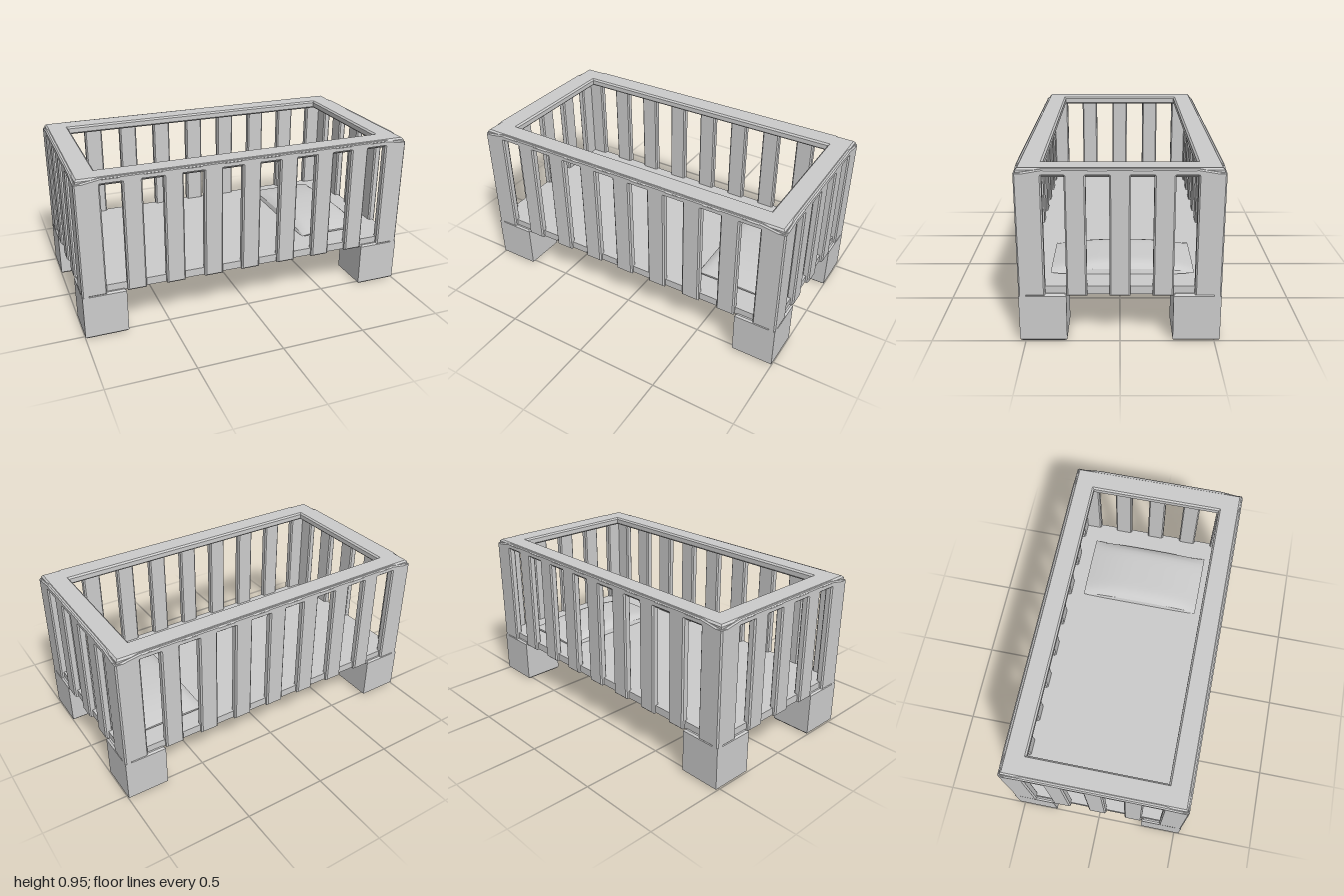
import * as THREE from 'three';

const material = new THREE.MeshStandardMaterial({ color: 0xcccccc });
const HALF_X = 1, HALF_Z = 0.53;
const BASE = 0.262, BEVEL = 0.008;

function addMesh(parent, name, geometry) {
  const mesh = new THREE.Mesh(geometry, material);
  mesh.name = name;
  parent.add(mesh);
  return mesh;
}

// Extrudes a shape to exactly the given depth, with a small chamfer kept inside the outline
function chamfered(shape, depth, bevel = BEVEL) {
  const geometry = new THREE.ExtrudeGeometry(shape, {
    depth: depth - 2 * bevel, bevelThickness: bevel, bevelSize: bevel,
    bevelOffset: -bevel, bevelSegments: 1,
  });
  return geometry.translate(0, 0, bevel);
}

function rectangle(x0, y0, x1, y1, Type = THREE.Shape) {
  return new Type([[x0, y0], [x1, y0], [x1, y1], [x0, y1]].map(p => new THREE.Vector2(...p)));
}

// Comb outline: corner posts and slats joined along the top, gaps open below
function combShape(half, slats, pitch, slatWidth) {
  const post = 0.14, lintel = 0.938, chamfer = 0.025;
  const edges = [-half + post];
  for (let i = 0; i < slats; i++) {
    const x = (i - (slats - 1) / 2) * pitch;
    edges.push(x - slatWidth / 2, x + slatWidth / 2);
  }
  edges.push(half - post);

  const shape = new THREE.Shape();
  shape.moveTo(-half, BASE);
  for (let i = 0; i < edges.length; i += 2) {
    const a = edges[i], b = edges[i + 1];
    shape.lineTo(a, BASE);
    shape.lineTo(a, lintel - chamfer);
    shape.lineTo(a + 0.015, lintel);
    shape.lineTo(b - 0.015, lintel);
    shape.lineTo(b, lintel - chamfer);
    shape.lineTo(b, BASE);
  }
  // Top edge drops a little towards the corners
  shape.lineTo(half, BASE);
  shape.lineTo(half, 0.928);
  shape.lineTo(half - post, 0.95);
  shape.lineTo(-half + post, 0.95);
  shape.lineTo(-half, 0.928);
  return shape;
}

// Low cushion: a box whose top falls away towards its edges
function pillowGeometry(width, height, length) {
  const geometry = new THREE.BoxGeometry(width, height, length, 16, 2, 20);
  const p = geometry.attributes.position;
  for (let i = 0; i < p.count; i++) {
    const u = Math.abs(p.getX(i) / (width / 2));
    const v = Math.abs(p.getZ(i) / (length / 2));
    const level = p.getY(i) / height + 0.5;
    const fullness = (1 - 0.55 * u ** 7) * (1 - 0.75 * v ** 2.6);
    const lift = 0.01 * v ** 6;
    p.setY(i, lift + level * (height * fullness - lift * 0.5));
    // Pull the upper rim in slightly
    p.setX(i, p.getX(i) * (1 - 0.04 * level * u));
  }
  geometry.computeVertexNormals();
  return geometry;
}

export function createModel() {
  const crib = new THREE.Group();
  crib.name = 'crib';

  // Four slatted sides
  const thickness = 0.045;
  const longSide = chamfered(combShape(HALF_X, 7, 0.229, 0.11), thickness);
  const shortSide = chamfered(combShape(HALF_Z, 3, 0.225, 0.108), thickness);
  [['frontSide', longSide, 0, HALF_Z], ['leftSide', shortSide, 1, HALF_X],
    ['backSide', longSide, 2, HALF_Z], ['rightSide', shortSide, 3, HALF_X]]
    .forEach(([name, geometry, turn, distance]) => {
      const side = addMesh(crib, name, geometry);
      side.rotation.y = turn * Math.PI / 2;
      side.translateZ(distance - thickness);
    });

  // Flat top rail running round all sides
  const railShape = rectangle(-0.988, -0.52, 0.988, 0.52);
  railShape.holes.push(rectangle(-0.86, -0.395, 0.86, 0.395, THREE.Path));
  const rail = addMesh(crib, 'topRail', chamfered(railShape, 0.048, 0.01));
  rail.rotation.x = -Math.PI / 2;
  rail.position.y = 0.905;

  // Square feet
  const legSize = 0.25;
  const legGeometry = chamfered(rectangle(-legSize / 2, -legSize / 2, legSize / 2, legSize / 2), 0.272, 0.01);
  legGeometry.rotateX(-Math.PI / 2);
  for (const sx of [-1, 1]) {
    for (const sz of [-1, 1]) {
      const name = (sz > 0 ? 'front' : 'back') + (sx > 0 ? 'Left' : 'Right') + 'Leg';
      addMesh(crib, name, legGeometry)
        .position.set(sx * (HALF_X - legSize / 2), 0, sz * (HALF_Z - legSize / 2));
    }
  }

  // Mattress, set just behind the slat faces
  addMesh(crib, 'mattress', new THREE.BoxGeometry(1.96, 0.046, 1.02)).position.y = 0.288;

  // Pillow at the left end
  addMesh(crib, 'pillow', pillowGeometry(0.42, 0.061, 0.77)).position.set(0.63, 0.314, -0.013);

  return crib;
}
